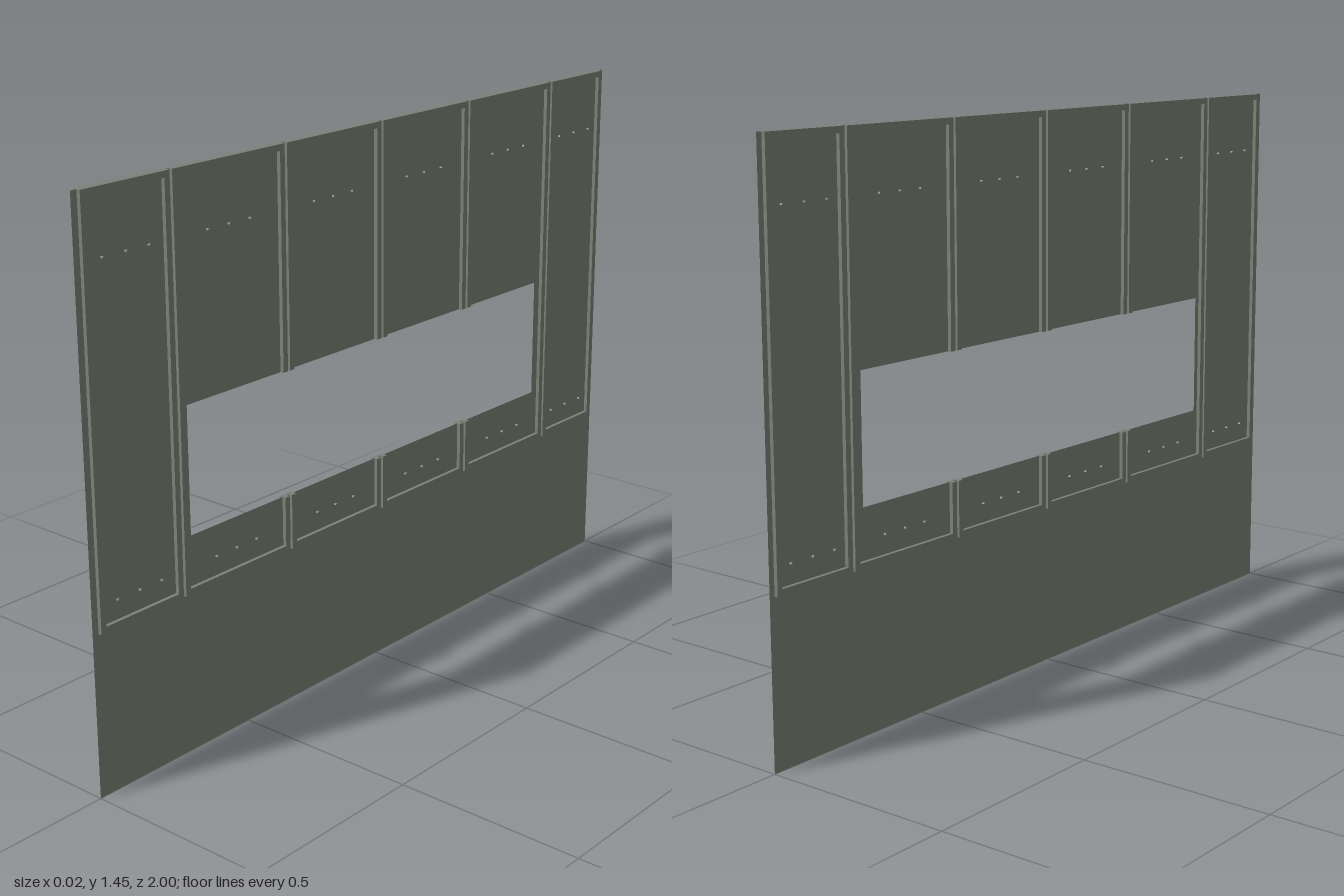
import * as THREE from 'three';

export function createModel() {
  const model = new THREE.Group();
  model.name = 'wallPanel';
  const material = new THREE.MeshStandardMaterial({ color: 0x7c8176, flatShading: true });
  const sheetMaterial = new THREE.MeshStandardMaterial({ color: 0x7c8176, side: THREE.DoubleSide });

  const TOP = 1.445, BASE = 0.415;        // frame height range
  const DEPTH = 0.02, BAR = 0.016, GAP = 0.008;
  const opening = { z0: -0.695, z1: 0.68, y0: 0.56, y1: 0.885 };

  const rect = (path, x0, x1, y0, y1) => {
    path.moveTo(x0, y0);
    path.lineTo(x1, y0);
    path.lineTo(x1, y1);
    path.lineTo(x0, y1);
    path.closePath();
    return path;
  };

  // Thin sheet with the long rectangular opening (shape x becomes -z)
  const outline = rect(new THREE.Shape(), -1, 1, 0, TOP);
  outline.holes.push(rect(new THREE.Path(), -opening.z1, -opening.z0, opening.y0, opening.y1));
  const sheet = new THREE.Mesh(new THREE.ShapeGeometry(outline).rotateY(Math.PI / 2), sheetMaterial);
  sheet.name = 'sheet';
  model.add(sheet);

  // Bar standing proud of both sheet faces
  function addBar(parent, name, z0, z1, y0, y1) {
    const bar = new THREE.Mesh(new THREE.BoxGeometry(DEPTH, y1 - y0, z1 - z0), material);
    bar.position.set(0, (y0 + y1) / 2, (z0 + z1) / 2);
    bar.name = name;
    parent.add(bar);
  }

  // Upright, interrupted where it crosses the opening
  function addPost(parent, z0, z1) {
    if (z0 > opening.z0 && z1 < opening.z1) {
      addBar(parent, 'lowerPost', z0, z1, BASE, opening.y0);
      addBar(parent, 'upperPost', z0, z1, opening.y1, TOP);
    } else {
      addBar(parent, 'post', z0, z1, BASE, TOP);
    }
  }

  // Six framed bays with narrow gaps between them
  const joints = [-0.989, -0.738, -0.368, -0.014, 0.34, 0.715, 0.986];
  const boltGeometry = new THREE.CylinderGeometry(0.004, 0.004, 0.014, 6).rotateZ(Math.PI / 2);
  for (let i = 0; i < joints.length - 1; i++) {
    const z0 = joints[i] + GAP / 2, z1 = joints[i + 1] - GAP / 2;
    const bay = new THREE.Group();
    bay.name = 'bayFrame';
    addPost(bay, z0, z0 + BAR);
    addPost(bay, z1 - BAR, z1);
    addBar(bay, 'topRail', z0 + BAR, z1 - BAR, TOP - BAR, TOP);
    addBar(bay, 'bottomRail', z0 + BAR, z1 - BAR, BASE, BASE + BAR);

    // Rows of three small bolts near the top and bottom
    for (const y of [0.48, 1.285]) {
      for (const offset of [-0.07, 0, 0.07]) {
        const bolt = new THREE.Mesh(boltGeometry, material);
        bolt.name = 'bolt';
        bolt.position.set(0, y, (z0 + z1) / 2 + offset);
        bay.add(bolt);
      }
    }
    model.add(bay);
  }
  return model;
}
